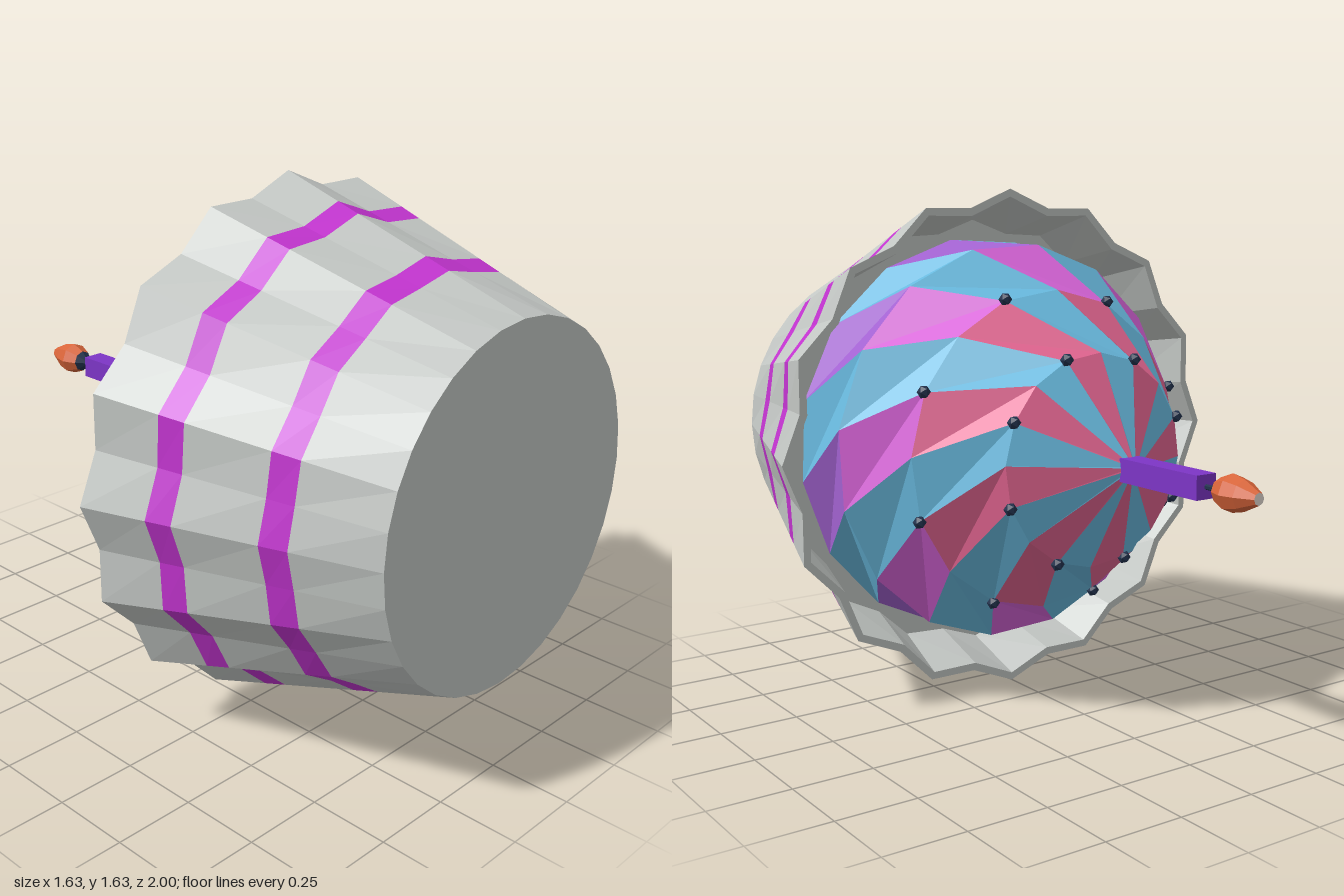
import * as THREE from 'three';

const AXIS_Y = 0.816;
const mat = (name, color) => Object.assign(new THREE.MeshStandardMaterial({ color, flatShading: true }), { name });

// Ring of points around the z axis; radius may vary with the index
function ring(n, z, radius, offsetDeg = 0) {
  return Array.from({ length: n }, (_, i) => {
    const a = THREE.MathUtils.degToRad(offsetDeg) + (i / n) * Math.PI * 2;
    const r = typeof radius === 'function' ? radius(i) : radius;
    return [r * Math.cos(a), AXIS_Y + r * Math.sin(a), z];
  });
}

// Flat-sided band joining two rings; keep(i) chooses the segments
function addBand(out, a, b, keep = () => true) {
  const n = a.length;
  for (let i = 0; i < n; i++) {
    if (!keep(i)) continue;
    const j = (i + 1) % n;
    out.push(...a[i], ...b[i], ...b[j], ...a[i], ...b[j], ...a[j]);
  }
}

function meshFrom(name, positions, material) {
  const g = new THREE.BufferGeometry();
  g.setAttribute('position', new THREE.Float32BufferAttribute(positions, 3));
  g.computeVertexNormals();
  const m = new THREE.Mesh(g, material);
  m.name = name;
  return m;
}

export function createModel() {
  const model = new THREE.Group();
  model.name = 'cupcake';
  const paper = mat('paperGrey', 0xc3c7c4);
  const stripe = mat('stripeMagenta', 0xc234cf);
  const blue = mat('frostingBlue', 0x69badf);
  const violet = mat('frostingViolet', 0xa463d3);
  const pink = mat('frostingPink', 0xdb66dc);
  const rose = mat('frostingRose', 0xe0648f);
  const wax = mat('candlePurple', 0x7d35c6);
  const navy = mat('darkNavy', 0x22324d);
  const orange = mat('flameOrange', 0xd9653a);
  const pale = mat('flameTipPale', 0xe6dcd4);

  // Pleated paper cup: round at the base, zigzag at the rim
  const rim = 0.155, wall = 0.025;
  const cupRing = (z, inset = 0) => {
    const t = (1 - z) / (1 - rim);
    return ring(32, z, (i) => THREE.MathUtils.lerp(0.54, i % 2 ? 0.769 : 0.816, t) - inset);
  };
  const cup = [], bands = [];
  addBand(cup, ring(32, 1, 0), cupRing(1));
  const levels = [1, 0.75, 0.67, 0.425, 0.35, rim];
  for (let k = 0; k < levels.length - 1; k++) {
    addBand(k % 2 ? bands : cup, cupRing(levels[k]), cupRing(levels[k + 1]));
  }
  addBand(cup, cupRing(rim), cupRing(rim, wall));
  addBand(cup, cupRing(rim, wall), cupRing(0.38, wall));
  addBand(cup, cupRing(0.38, wall), ring(32, 0.38, 0));
  model.add(meshFrom('paperCup', cup, paper), meshFrom('cupStripes', bands, stripe));

  // Twisted frosting dome with alternating colours
  const dome = [
    [0.36, 0.66, -8.5], [0.135, 0.645, 8.5], [-0.065, 0.505, 25.5], [-0.3, 0.328, 48], [-0.48, 0.012, 70.5],
  ].map(([z, r, twist]) => ring(16, z, r, twist));
  const blueFaces = [];
  const swirls = [[], [], []];
  for (let k = 0; k < 4; k++) {
    addBand(blueFaces, dome[k], dome[k + 1], (i) => i % 2 === 0);
    addBand(swirls[Math.min(k, 2)], dome[k], dome[k + 1], (i) => i % 2 === 1);
  }
  model.add(
    meshFrom('frostingBlueSwirl', blueFaces, blue),
    meshFrom('frostingLowerSwirl', swirls[0], violet),
    meshFrom('frostingMiddleSwirl', swirls[1], pink),
    meshFrom('frostingUpperSwirl', swirls[2], rose),
  );

  // Sprinkles in two rows of eight
  const sprinkles = new THREE.Group();
  sprinkles.name = 'sprinkles';
  const bead = new THREE.IcosahedronGeometry(0.021, 0);
  for (const [z, r] of [[-0.068, 0.51], [-0.303, 0.332]]) {
    for (const p of ring(8, z, r, 25.5)) {
      const s = new THREE.Mesh(bead, navy);
      s.name = 'sprinkle';
      s.position.set(...p);
      sprinkles.add(s);
    }
  }
  model.add(sprinkles);

  // Candle and wick
  const candle = new THREE.Mesh(new THREE.BoxGeometry(0.07, 0.07, 0.335), wax);
  candle.name = 'candle';
  candle.position.set(0, AXIS_Y, -0.6275);
  const wick = new THREE.Mesh(new THREE.CylinderGeometry(0.008, 0.008, 0.06, 6), navy);
  wick.name = 'wick';
  wick.rotation.x = -Math.PI / 2;
  wick.position.set(0, AXIS_Y, -0.82);
  model.add(candle, wick);

  // Faceted flame: dark root, orange body, pale tip
  const flame = [
    [-0.825, 0.01], [-0.853, 0.036], [-0.9, 0.054], [-0.945, 0.044], [-1, 0.018], [-1, 0],
  ].map(([z, r]) => ring(8, z, r));
  const root = [], body = [], tip = [];
  addBand(root, flame[0], flame[1]);
  for (let k = 1; k < 4; k++) addBand(body, flame[k], flame[k + 1]);
  addBand(tip, flame[4], flame[5]);
  model.add(meshFrom('flameRoot', root, navy), meshFrom('flame', body, orange), meshFrom('flameTip', tip, pale));

  return model;
}
